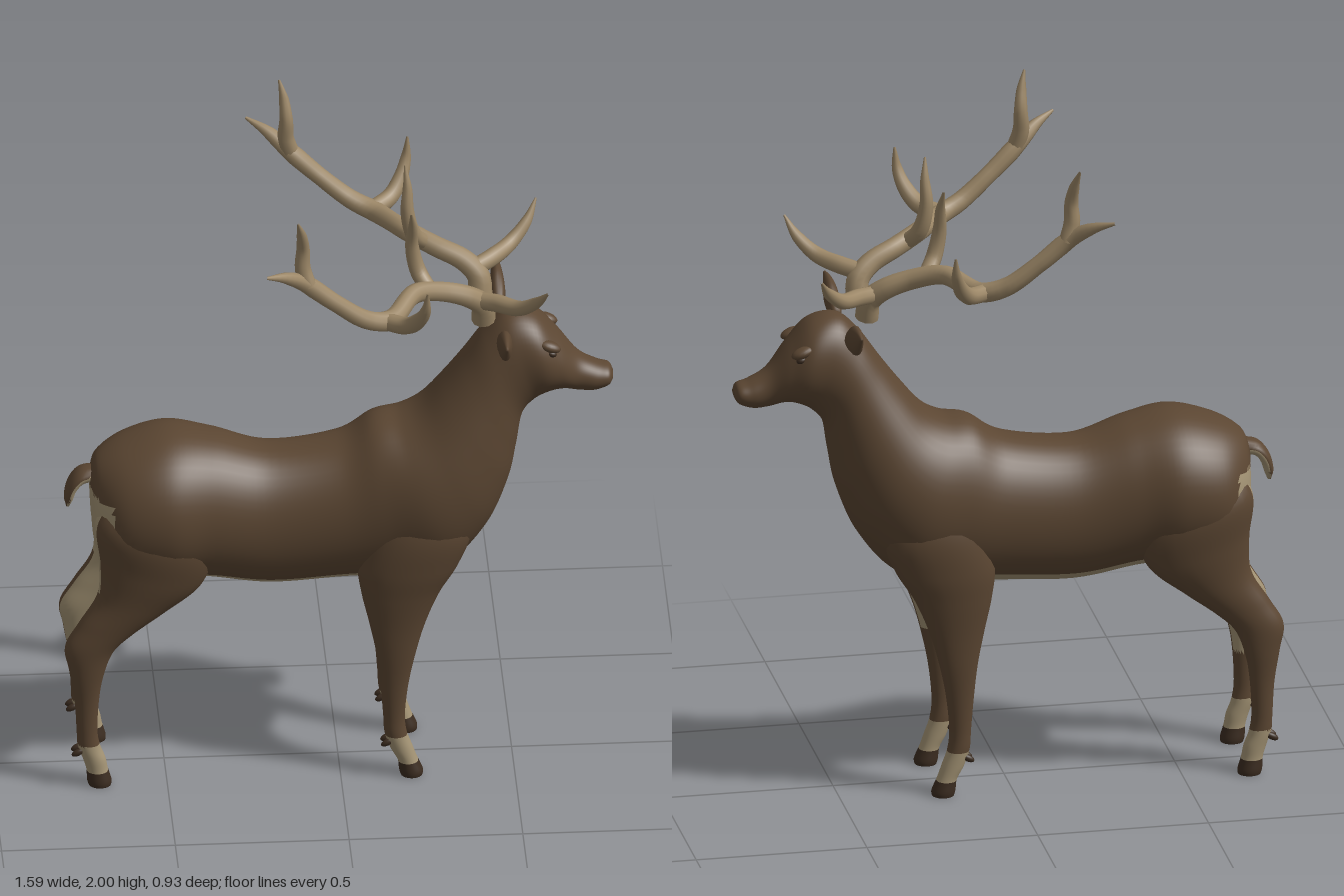
import * as THREE from 'three';

const mat = (name, color) => Object.assign(new THREE.MeshStandardMaterial({ color }), { name });
const coat = mat('brown coat', 0x5b4632);
const pale = mat('pale fur', 0xa39374);
const horn = mat('hoof', 0x3b2c20);
const bone = mat('antler', 0x9c8767);
const PAINTS = [coat, pale, horn];
const V = (x, y, z) => new THREE.Vector3(x, y, z);

// Skin over cross-sections [ax, ay, bx, by, half width, z]: a and b are opposite rim points.
// paint(centroid, normal) picks the material index of each face.
function loft(name, sections, rows, cols, paint = () => 0) {
  const A = new THREE.CatmullRomCurve3(sections.map(s => V(s[0], s[1], s[4])), false, 'catmullrom', 0.5);
  const B = new THREE.CatmullRomCurve3(sections.map(s => V(s[2], s[3], s[5] || 0)), false, 'catmullrom', 0.5);
  const pos = [], tris = [];
  for (let i = 0; i <= rows; i++) {
    const a = A.getPoint(i / rows), b = B.getPoint(i / rows);
    for (let j = 0; j < cols; j++) {
      const t = j / cols * Math.PI * 2, c = Math.cos(t) / 2, s = Math.sin(t);
      const side = Math.sign(s) * Math.pow(Math.abs(s), 0.9);
      pos.push((a.x + b.x) / 2 + (a.x - b.x) * c, (a.y + b.y) / 2 + (a.y - b.y) * c, b.z + a.z * side);
    }
  }
  for (let i = 0; i < rows; i++) for (let j = 0; j < cols; j++) {
    const k = (j + 1) % cols, p = i * cols + j, q = i * cols + k;
    tris.push([p, q, p + cols], [q, q + cols, p + cols]);
  }
  // end caps
  for (const i of [0, rows]) {
    const a = A.getPoint(i / rows), b = B.getPoint(i / rows), mid = pos.length / 3;
    pos.push((a.x + b.x) / 2, (a.y + b.y) / 2, b.z);
    for (let j = 0; j < cols; j++) {
      const p = i * cols + j, q = i * cols + (j + 1) % cols;
      tris.push(i ? [p, q, mid] : [q, p, mid]);
    }
  }
  // sort faces into colour groups
  const buckets = PAINTS.map(() => []);
  const tri = new THREE.Triangle(), n = V(), m = V();
  for (const t of tris) {
    tri.set(...t.map(i => V(pos[i * 3], pos[i * 3 + 1], pos[i * 3 + 2])));
    buckets[paint(tri.getMidpoint(m), tri.getNormal(n))].push(...t);
  }
  const g = new THREE.BufferGeometry();
  g.setAttribute('position', new THREE.Float32BufferAttribute(pos, 3));
  g.setIndex(buckets.flat());
  let start = 0;
  buckets.forEach((b, i) => { if (b.length) g.addGroup(start, b.length, i); start += b.length; });
  g.computeVertexNormals();
  const mesh = new THREE.Mesh(g, PAINTS);
  mesh.name = name;
  return mesh;
}

// Tapered tube through points, with radii spread evenly along it
function tine(name, pts, radii) {
  const curve = new THREE.CatmullRomCurve3(pts.map(p => V(...p)));
  const n = pts.length * 5, g = new THREE.TubeGeometry(curve, n, 1, 10);
  const p = g.attributes.position, v = V();
  for (let i = 0; i < p.count; i++) {
    const t = Math.floor(i / 11) / n, f = t * (radii.length - 1), k = Math.min(Math.floor(f), radii.length - 2);
    const r = THREE.MathUtils.lerp(radii[k], radii[k + 1], f - k), c = curve.getPointAt(t);
    v.fromBufferAttribute(p, i).sub(c).multiplyScalar(r).add(c);
    p.setXYZ(i, v.x, v.y, v.z);
  }
  const mesh = new THREE.Mesh(g, bone);
  mesh.name = name;
  return mesh;
}

function blob(name, material, center, size, tilt = 0) {
  const g = new THREE.SphereGeometry(1, 16, 12).scale(...size).rotateZ(tilt).translate(...center);
  const mesh = new THREE.Mesh(g, material);
  mesh.name = name;
  return mesh;
}

// Copy of a mesh on the other side, with face order restored
function mirrored(mesh) {
  const g = mesh.geometry.clone().scale(1, 1, -1), ix = g.index.array;
  for (let i = 0; i < ix.length; i += 3) [ix[i], ix[i + 1]] = [ix[i + 1], ix[i]];
  const copy = new THREE.Mesh(g, mesh.material);
  copy.name = mesh.name.replace('left', 'right');
  return copy;
}

export function createModel() {
  const model = new THREE.Group();
  model.name = 'stag';

  // Trunk, neck and head in one skin, rump to nose (top point, bottom point, half width)
  model.add(loft('body', [
    [-0.715, 0.97, -0.71, 0.82, 0.05], [-0.69, 1.015, -0.695, 0.72, 0.13],
    [-0.61, 1.06, -0.63, 0.66, 0.2], [-0.49, 1.09, -0.5, 0.64, 0.222],
    [-0.36, 1.07, -0.38, 0.63, 0.193], [-0.2, 1.025, -0.2, 0.6, 0.172],
    [0, 1.05, 0, 0.61, 0.175], [0.1, 1.11, 0.16, 0.62, 0.19],
    [0.18, 1.125, 0.32, 0.66, 0.208], [0.24, 1.16, 0.43, 0.78, 0.195],
    [0.3, 1.23, 0.49, 0.92, 0.168], [0.36, 1.31, 0.513, 1.03, 0.142],
    [0.42, 1.395, 0.53, 1.125, 0.122], [0.485, 1.455, 0.565, 1.17, 0.114],
    [0.565, 1.445, 0.61, 1.195, 0.112], [0.63, 1.38, 0.65, 1.2, 0.088],
    [0.69, 1.305, 0.69, 1.19, 0.06], [0.745, 1.272, 0.735, 1.187, 0.053],
    [0.78, 1.26, 0.775, 1.2, 0.045], [0.792, 1.24, 0.788, 1.215, 0.025],
  ], 140, 48, (p, n) =>
    (n.y < -0.72 && p.y < 0.7 && p.x > -0.6 && p.x < 0.34) ||
    (p.x < -0.655 && p.y < 0.93 && n.x < -0.3) ? 1 : 0));

  // Tail curling back and down, pale underneath
  model.add(loft('tail', [
    [-0.69, 0.93, -0.69, 0.985, 0.03], [-0.73, 0.93, -0.742, 0.972, 0.04],
    [-0.752, 0.905, -0.775, 0.935, 0.04], [-0.762, 0.875, -0.788, 0.885, 0.03],
    [-0.772, 0.85, -0.782, 0.85, 0.008],
  ], 20, 16, (p, n) => n.x > 0.2 || n.y < -0.5 ? 1 : 0));

  const left = [];

  // Legs (front point, back point, half width, z)
  const foot = p => p.y < 0.045 ? 2 : p.y < 0.135 ? 1 : 0;
  left.push(loft('left front leg', [
    [0.36, 0.92, 0.1, 0.92, 0.07, 0.1], [0.38, 0.8, 0.07, 0.8, 0.092, 0.108],
    [0.34, 0.69, 0.05, 0.69, 0.085, 0.115], [0.285, 0.6, 0.06, 0.6, 0.068, 0.122],
    [0.243, 0.5, 0.083, 0.5, 0.049, 0.13], [0.215, 0.4, 0.103, 0.4, 0.038, 0.134],
    [0.195, 0.3, 0.114, 0.3, 0.032, 0.132], [0.185, 0.2, 0.122, 0.2, 0.029, 0.13],
    [0.19, 0.14, 0.126, 0.14, 0.031, 0.129], [0.207, 0.09, 0.142, 0.09, 0.031, 0.129],
    [0.221, 0.05, 0.163, 0.05, 0.031, 0.129], [0.236, 0.015, 0.168, 0.015, 0.035, 0.129],
    [0.236, 0, 0.172, 0, 0.034, 0.129],
  ], 90, 28, (p, n) => foot(p) || (n.z < -0.3 && p.y > 0.42 && p.y < 0.7 ? 1 : 0)));
  left.push(loft('left hind leg', [
    [-0.38, 0.9, -0.64, 0.96, 0.07, 0.1], [-0.36, 0.77, -0.705, 0.86, 0.095, 0.115],
    [-0.4, 0.65, -0.695, 0.73, 0.082, 0.117], [-0.5, 0.567, -0.7, 0.62, 0.062, 0.122],
    [-0.59, 0.5, -0.752, 0.53, 0.05, 0.126], [-0.652, 0.44, -0.793, 0.455, 0.045, 0.128],
    [-0.682, 0.36, -0.782, 0.38, 0.038, 0.13], [-0.695, 0.28, -0.766, 0.28, 0.031, 0.13],
    [-0.7, 0.18, -0.76, 0.18, 0.029, 0.13], [-0.692, 0.125, -0.757, 0.13, 0.031, 0.129],
    [-0.677, 0.085, -0.742, 0.085, 0.031, 0.129], [-0.67, 0.05, -0.732, 0.05, 0.031, 0.129],
    [-0.66, 0.015, -0.73, 0.015, 0.035, 0.129], [-0.66, 0, -0.726, 0, 0.034, 0.129],
  ], 90, 28, (p, n) => foot(p) || ((n.z < -0.3 && p.y > 0.28 && p.y < 0.85) ||
    (n.x < -0.35 && n.z < 0.35 && p.y > 0.63 && p.y < 0.92) ? 1 : 0)));

  // Dewclaws
  for (const x of [0.133, -0.757]) for (const z of [0.113, 0.145])
    left.push(blob('left dewclaw', horn, [x, 0.112, z], [0.02, 0.01, 0.009], 0.5));

  // Ear: leaf shape swung out to the side
  const ear = loft('left ear', [
    [-0.02, 0.018, -0.02, -0.018, 0.015], [0.03, 0.034, 0.03, -0.034, 0.022],
    [0.08, 0.042, 0.08, -0.045, 0.02], [0.13, 0.028, 0.13, -0.026, 0.013],
    [0.172, 0.004, 0.172, -0.004, 0.004],
  ], 20, 16);
  ear.geometry.rotateZ(0.38).rotateY(-Math.PI / 2).translate(0.47, 1.413, 0.115);
  left.push(ear);

  // Brow ridge over the eye
  left.push(blob('left brow', coat, [0.605, 1.372, 0.082], [0.034, 0.016, 0.022], -0.35));
  left.push(blob('left eye', horn, [0.61, 1.352, 0.088], [0.015, 0.01, 0.012], -0.35));

  // Antler: main beam and its tines
  left.push(tine('left antler beam', [
    [0.415, 1.465, 0.07], [0.41, 1.52, 0.085], [0.37, 1.56, 0.105], [0.29, 1.595, 0.13], [0.21, 1.62, 0.18],
    [0.13, 1.61, 0.31], [0.06, 1.635, 0.345], [-0.03, 1.705, 0.365], [-0.12, 1.785, 0.385],
    [-0.175, 1.825, 0.42], [-0.235, 1.85, 0.46],
  ], [0.035, 0.032, 0.03, 0.029, 0.028, 0.03, 0.027, 0.025, 0.027, 0.02, 0.004]));
  left.push(tine('left brow tine', [
    [0.395, 1.54, 0.09], [0.45, 1.55, 0.13], [0.51, 1.565, 0.19], [0.56, 1.61, 0.235], [0.588, 1.66, 0.275],
  ], [0.026, 0.026, 0.023, 0.017, 0.003]));
  left.push(tine('left second tine', [
    [0.26, 1.6, 0.145], [0.225, 1.65, 0.105], [0.207, 1.73, 0.098], [0.208, 1.8, 0.115], [0.203, 1.86, 0.14],
  ], [0.024, 0.024, 0.021, 0.015, 0.003]));
  left.push(tine('left third tine', [
    [0.12, 1.612, 0.32], [0.175, 1.625, 0.37], [0.208, 1.665, 0.41], [0.225, 1.715, 0.44], [0.23, 1.775, 0.452],
  ], [0.026, 0.026, 0.023, 0.016, 0.003]));
  left.push(tine('left top tine', [
    [-0.11, 1.775, 0.383], [-0.125, 1.83, 0.375], [-0.124, 1.89, 0.372], [-0.13, 1.95, 0.392], [-0.142, 2, 0.412],
  ], [0.025, 0.024, 0.02, 0.015, 0.003]));

  // Base plug closing the beam
  left.push(blob('left antler base', bone, [0.415, 1.472, 0.071], [0.034, 0.01, 0.034]));

  for (const part of left) model.add(part, mirrored(part));
  return model;
}
